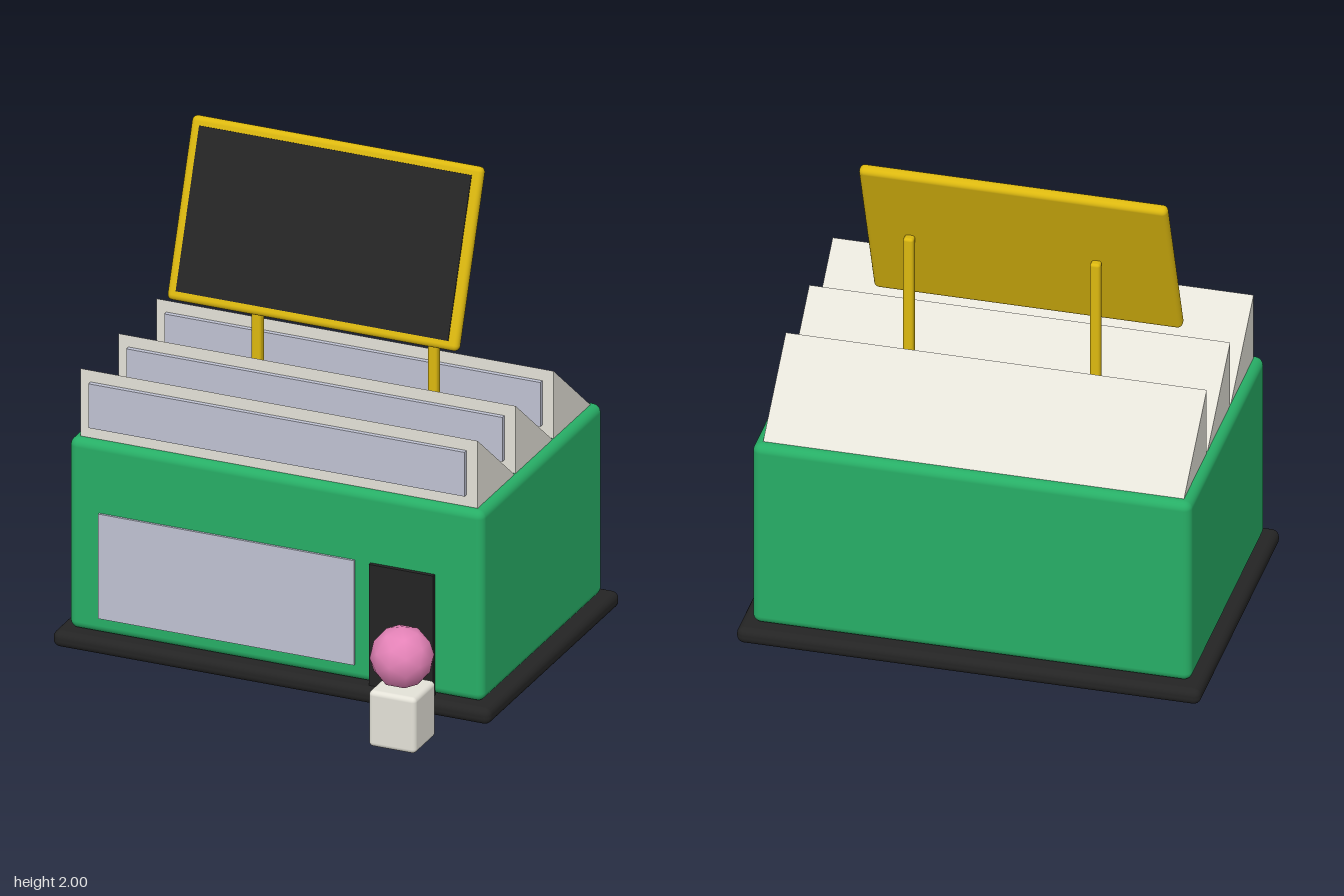
import * as THREE from 'three';
import { RoundedBoxGeometry } from 'three/addons/geometries/RoundedBoxGeometry.js';

const material = (name, color) => {
  const m = new THREE.MeshStandardMaterial({ color });
  m.name = name;
  return m;
};

export function createModel() {
  const green = material('green wall', 0x27ae66);
  const black = material('black', 0x242424);
  const cream = material('cream', 0xe4e2d8);
  const yellow = material('yellow', 0xdcb80f);
  const glass = material('grey glass', 0xbfc2d2);
  const pink = material('pink', 0xe583b8);
  const model = new THREE.Group();
  model.name = 'shop';

  const add = (parent, name, geometry, mat, x = 0, y = 0, z = 0) => {
    const mesh = new THREE.Mesh(geometry, mat);
    mesh.name = name;
    mesh.position.set(x, y, z);
    parent.add(mesh);
    return mesh;
  };
  // Box given by its limits on each axis; a radius rounds its edges
  const block = (parent, name, mat, [x0, x1], [y0, y1], [z0, z1], radius = 0) => {
    const size = [x1 - x0, y1 - y0, z1 - z0];
    const geometry = radius ? new RoundedBoxGeometry(...size, 3, radius) : new THREE.BoxGeometry(...size);
    return add(parent, name, geometry, mat, (x0 + x1) / 2, (y0 + y1) / 2, (z0 + z1) / 2);
  };

  // Base slab and main hall
  block(model, 'base', black, [-0.94, 0.94], [0, 0.07], [-0.83, 0.44], 0.03);
  block(model, 'walls', green, [-0.89, 0.89], [0.07, 0.89], [-0.775, 0.39], 0.035);
  block(model, 'shopWindow', glass, [-0.757, 0.342], [0.14, 0.59], [0.385, 0.4]);
  block(model, 'door', black, [0.41, 0.685], [0.07, 0.59], [0.385, 0.408]);

  // Saw-tooth roof: three wedges, each with a strip window in its upright face
  const profile = new THREE.Shape([
    new THREE.Vector2(0, 0), new THREE.Vector2(0, 0.29), new THREE.Vector2(-0.355, 0),
  ]);
  const wedge = new THREE.ExtrudeGeometry(profile, { depth: 1.706, bevelEnabled: false });
  wedge.translate(0, 0, -0.853).rotateY(-Math.PI / 2);
  for (let i = 0; i < 3; i++) {
    const z = 0.354 - i * 0.366;
    add(model, 'roofTooth', wedge, cream, 0, 0.89, z);
    block(model, 'roofWindow', glass, [-0.81, 0.805], [0.94, 1.13], [z - 0.01, z + 0.02]);
  }

  // Billboard leaning back on two posts
  for (const x of [-0.383, 0.374]) {
    block(model, 'billboardPost', yellow, [x - 0.021, x + 0.021], [0.88, 1.65], [-0.321, -0.279], 0.012);
  }
  const billboard = new THREE.Group();
  billboard.name = 'billboard';
  billboard.position.set(-0.071, 1.653, -0.261);
  billboard.rotation.x = -0.349;
  model.add(billboard);
  add(billboard, 'billboardFrame', new RoundedBoxGeometry(1.25, 0.735, 0.05, 3, 0.022), yellow);
  add(billboard, 'billboardScreen', new THREE.BoxGeometry(1.17, 0.66, 0.008), black, 0, 0, 0.025);

  // Planter with a faceted round bush
  block(model, 'planter', cream, [0.581, 0.785], [0, 0.24], [0.6, 0.804], 0.02);
  const bush = new THREE.IcosahedronGeometry(0.128, 1);
  add(model, 'bush', bush, pink, 0.683, 0.365, 0.702);

  return model;
}
